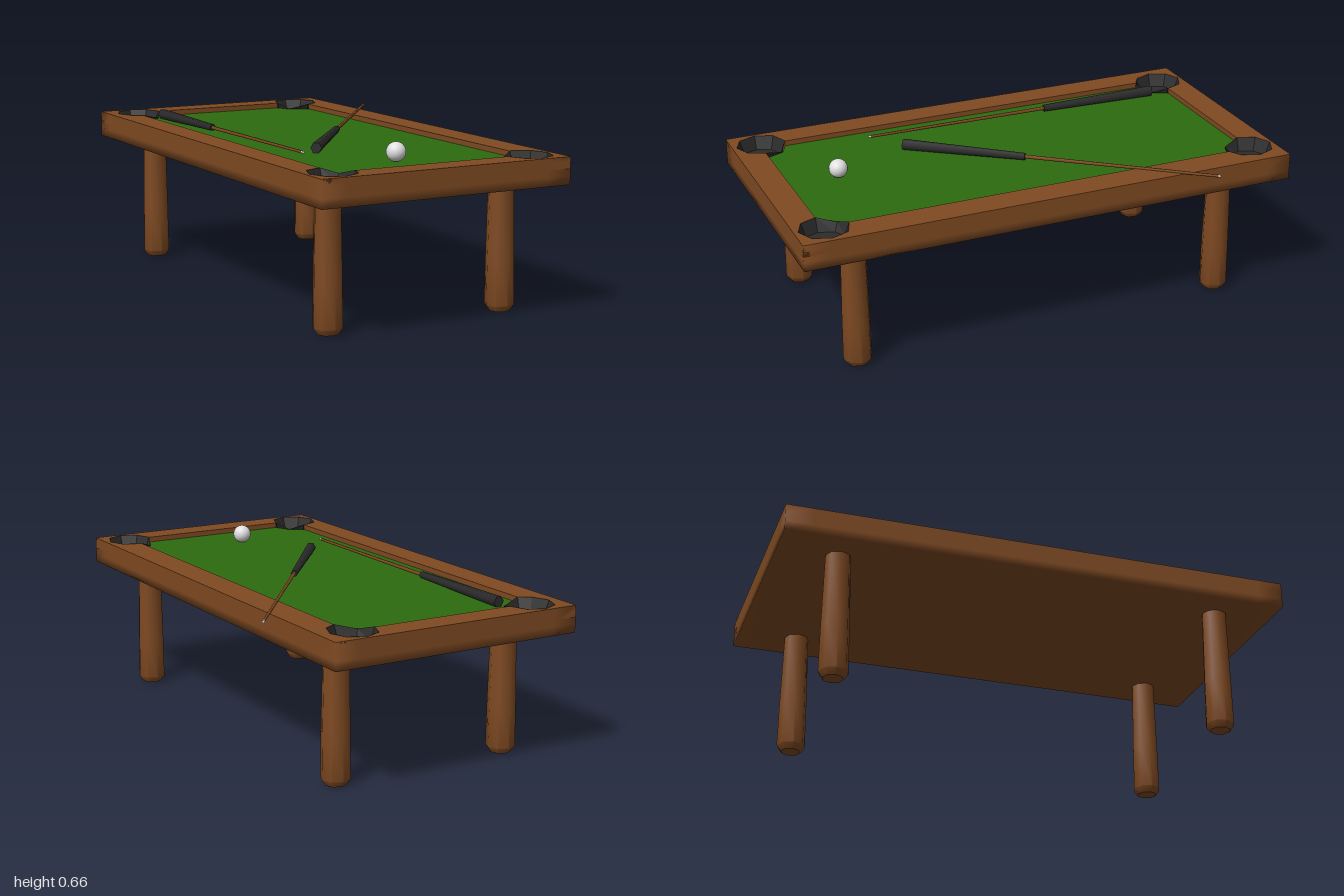
import * as THREE from 'three';
import { mergeVertices, toCreasedNormals } from 'three/addons/utils/BufferGeometryUtils.js';

const TOP = 0.604, FELT = 0.583, BASE = 0.5, POCKET = 0.552;
const X0 = -0.56, X1 = 0.47;                     // table outer edges
const IN = { x: [-0.45, 0.35], z: [-0.89, 0.89] }; // playing field edges
// corner pockets, counter-clockwise: side signs and centre
const POCKETS = [
  { sx: 1, sz: 1, x: 0.36, z: 0.885 },
  { sx: -1, sz: 1, x: -0.455, z: 0.885 },
  { sx: -1, sz: -1, x: -0.43, z: -0.89 },
  { sx: 1, sz: -1, x: 0.335, z: -0.89 },
];

// Eight points round a pocket: 0 lies on the felt, 1 and 7 on the rail edges
function pocketRing(p) {
  const start = Math.atan2(-p.sz, -p.sx);
  const pts = [];
  for (let i = 0; i < 8; i++) {
    const a = start + i * Math.PI / 4;
    let x = p.x + 0.091 * Math.cos(a), z = p.z + 0.098 * Math.sin(a);
    if (i === 1 || i === 7) {
      if (Math.abs(Math.cos(a)) < 0.1) x = IN.x[p.sx > 0 ? 1 : 0];
      else z = IN.z[p.sz > 0 ? 1 : 0];
    }
    pts.push(new THREE.Vector2(x, z));
  }
  return pts;
}

// Horizontal slab from a plan shape, hanging down from height top
function slab(shape, top, depth) {
  const g = new THREE.ExtrudeGeometry(shape, { depth, bevelEnabled: false });
  return g.rotateX(Math.PI / 2).translate(0, top, 0);
}

// Open-topped box with edge loops, so its edges shade softly
function bodyGeometry() {
  const w = X1 - X0, h = TOP - BASE;
  const g = new THREE.BoxGeometry(w, h, 2, 3, 3, 3);
  const pos = g.attributes.position;
  const inset = (v, half, d) => (Math.abs(v) > half * 0.9 ? v : Math.sign(v) * (half - d));
  for (let i = 0; i < pos.count; i++) {
    pos.setXYZ(i, inset(pos.getX(i), w / 2, 0.1), inset(pos.getY(i), h / 2, 0.035), inset(pos.getZ(i), 1, 0.1));
  }
  const top = g.groups[2];
  const idx = Array.from(g.index.array);
  idx.splice(top.start, top.count);
  g.setIndex(idx);
  g.clearGroups();
  g.deleteAttribute('normal');
  g.deleteAttribute('uv');
  const merged = mergeVertices(g);
  merged.computeVertexNormals();
  return merged.translate((X0 + X1) / 2, (TOP + BASE) / 2, 0);
}

// Sloped cup wall and floor of one pocket
function pocketGeometry(p) {
  const ring = pocketRing(p);
  const v = [];
  const upper = (i) => [ring[i].x, i === 0 ? FELT + 0.002 : TOP + 0.001, ring[i].y];
  const lower = (i) => [p.x + (ring[i].x - p.x) * 0.8, POCKET, p.z + (ring[i].y - p.z) * 0.8];
  for (let i = 0; i < 8; i++) {
    const j = (i + 1) % 8;
    v.push(...upper(i), ...upper(j), ...lower(j), ...upper(i), ...lower(j), ...lower(i));
    v.push(...lower(i), ...lower(j), p.x, POCKET, p.z);
  }
  const g = new THREE.BufferGeometry();
  g.setAttribute('position', new THREE.Float32BufferAttribute(v, 3));
  g.computeVertexNormals();
  return g;
}

export function createModel() {
  const mat = (name, color, side = THREE.FrontSide) => {
    const m = new THREE.MeshStandardMaterial({ color, side });
    m.name = name;
    return m;
  };
  const wood = mat('brown wood', 0x7f4a22);
  const green = mat('green felt', 0x2c6b0e);
  const black = mat('black', 0x2b2b2b, THREE.DoubleSide);
  const white = mat('ball white', 0xe0e0e0);

  const model = new THREE.Group();
  model.name = 'poolTable';
  const add = (name, geo, material, parent = model) => {
    const m = new THREE.Mesh(geo, material);
    m.name = name;
    parent.add(m);
    return m;
  };

  // Table body, rails and playing field
  add('tableBody', bodyGeometry(), wood);
  const rail = new THREE.Shape([
    new THREE.Vector2(X0, -1), new THREE.Vector2(X1, -1),
    new THREE.Vector2(X1, 1), new THREE.Vector2(X0, 1),
  ]);
  const rings = POCKETS.map(pocketRing);
  rail.holes.push(new THREE.Path(rings.flatMap((r) => r.slice(1))));
  add('rails', slab(rail, TOP, 0.045), wood);
  const field = new THREE.Shape(rings.flatMap((r) => [r[1], r[0], r[7]]));
  add('felt', slab(field, FELT, 0.02), green);
  POCKETS.forEach((p) => add('pocket', pocketGeometry(p), black));

  // Tapered eight-sided legs with chamfered feet
  const profile = [[0, 0], [0.04, 0], [0.057, 0.024], [0.055, 0.2], [0.049, 0.505]]
    .map(([r, y]) => new THREE.Vector2(r, y));
  const legGeo = toCreasedNormals(new THREE.LatheGeometry(profile, 8), 0.9);
  for (const x of [-0.41, 0.325]) {
    for (const z of [-0.765, 0.77]) add('leg', legGeo, wood).position.set(x, 0, z);
  }

  // Cue: six-sided grip, thin shaft and pale tip, from butt to tip
  function cue(name, butt, tip) {
    const a = new THREE.Vector3(...butt), b = new THREE.Vector3(...tip);
    const len = a.distanceTo(b), grip = len * 0.394;
    const g = new THREE.Group();
    g.name = name;
    const rod = (part, rTop, rBottom, from, to, material) => {
      const geo = new THREE.CylinderGeometry(rTop, rBottom, to - from, 6);
      geo.rotateY(Math.PI / 6).rotateX(Math.PI / 2).translate(0, 0, (from + to) / 2);
      add(part, geo, material, g);
    };
    rod('cueGrip', 0.014, 0.022, 0, grip, black);
    rod('cueShaft', 0.0055, 0.0075, grip, len - 0.01, wood);
    rod('cueTip', 0.0055, 0.0055, len - 0.01, len, white);
    g.position.copy(a);
    g.lookAt(b);
    model.add(g);
  }
  cue('sideCue', [-0.351, 0.602, -0.81], [-0.347, 0.608, 0.47]);
  cue('crossCue', [-0.235, 0.602, 0.362], [0.55, 0.607, -0.642]);

  // Cue ball
  add('ball', new THREE.SphereGeometry(0.037, 20, 14), white).position.set(-0.08, 0.62, 0.685);

  return model;
}
